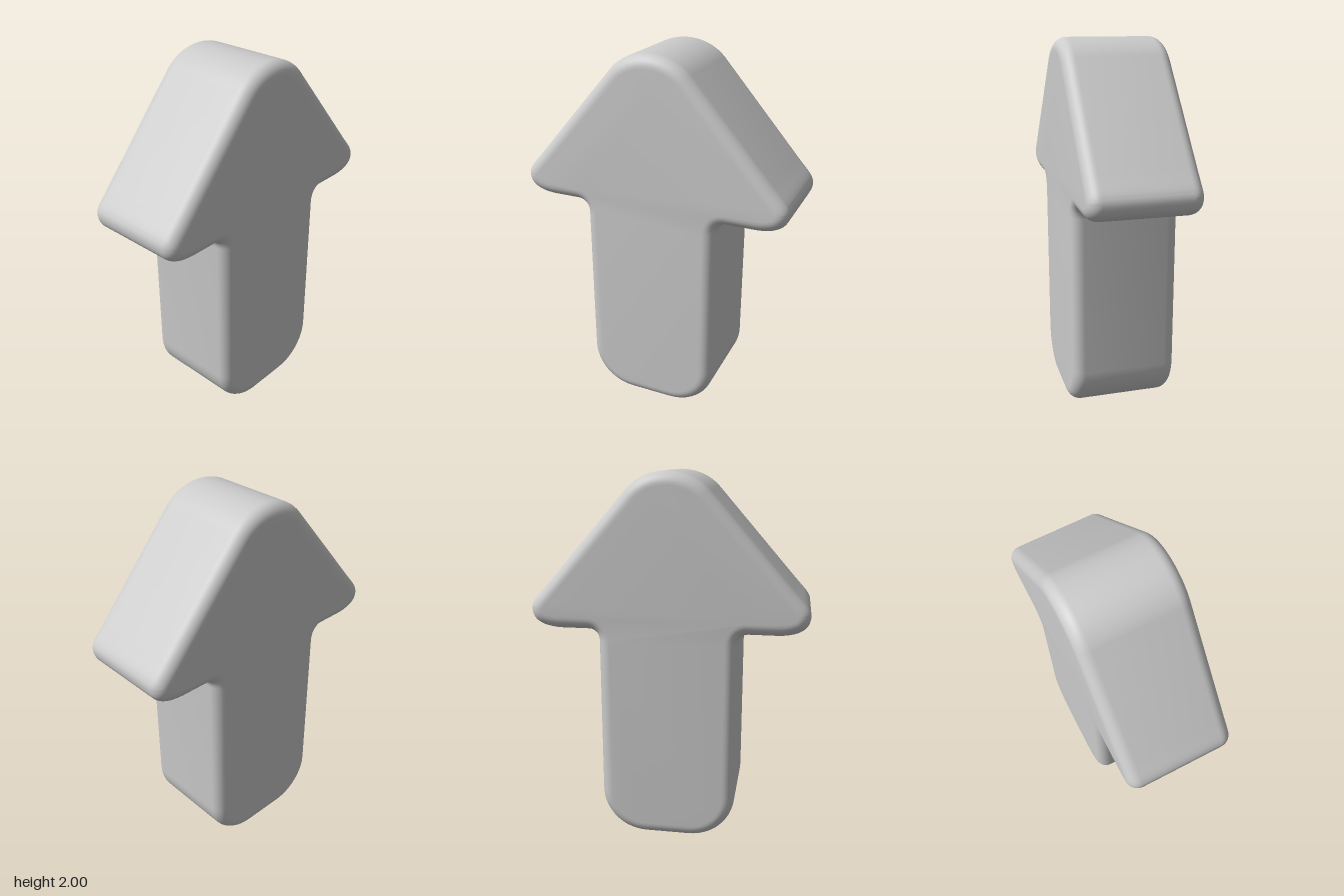
import * as THREE from 'three';
import { toCreasedNormals } from 'three/addons/utils/BufferGeometryUtils.js';

const DEPTH = 0.575;
const BEVEL = 0.065;

// Right half of the arrow outline, from bottom centre to the rounded top
function halfOutline() {
  const p = new THREE.Path();
  p.moveTo(0, 0);
  p.lineTo(0.12, 0);
  p.bezierCurveTo(0.26, 0, 0.372, 0.11, 0.372, 0.25);      // foot corner
  p.lineTo(0.372, 1.11);
  p.bezierCurveTo(0.372, 1.15, 0.39, 1.175, 0.43, 1.175);  // inner corner
  p.lineTo(0.58, 1.175);
  p.bezierCurveTo(0.67, 1.178, 0.742, 1.205, 0.742, 1.28); // barb underside
  p.bezierCurveTo(0.742, 1.32, 0.71, 1.345, 0.656, 1.406); // barb tip
  p.lineTo(0.215, 1.91);
  p.bezierCurveTo(0.16, 1.97, 0.08, 2, 0, 2);              // rounded top
  return p.getPoints(14);
}

export function createModel() {
  const group = new THREE.Group();
  group.name = 'arrow';

  // Mirror the half outline, skipping the two points on the axis
  const half = halfOutline();
  const mirrored = half.slice(1, -1).reverse().map((v) => new THREE.Vector2(-v.x, v.y));
  const shape = new THREE.Shape([...half, ...mirrored]);

  // Thick slab with rounded rims front and back
  const geometry = new THREE.ExtrudeGeometry(shape, {
    depth: DEPTH - 2 * BEVEL,
    bevelEnabled: true,
    bevelThickness: BEVEL,
    bevelSize: BEVEL,
    bevelOffset: -BEVEL,
    bevelSegments: 8,
  });
  geometry.translate(0, 0, -DEPTH / 2 + BEVEL);

  const body = new THREE.Mesh(
    toCreasedNormals(geometry, 0.7),
    new THREE.MeshStandardMaterial({ color: 0xcccccc })
  );
  body.name = 'arrowBody';
  group.add(body);
  return group;
}
